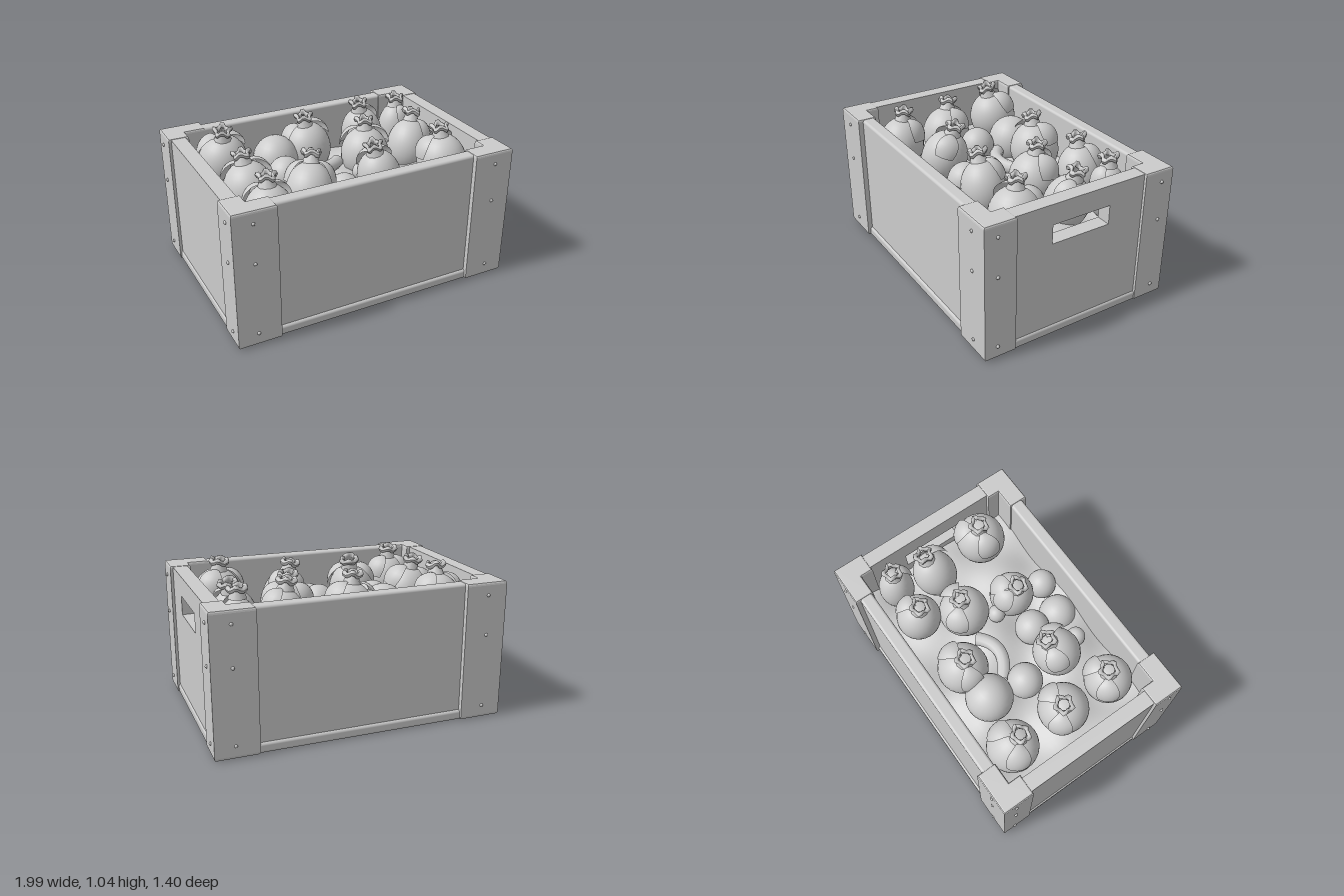
import * as THREE from 'three';
import { RoundedBoxGeometry } from 'three/addons/geometries/RoundedBoxGeometry.js';

const grey = new THREE.MeshStandardMaterial({ color: 0xcccccc });
const thin = new THREE.MeshStandardMaterial({ color: 0xcccccc, side: THREE.DoubleSide });

function add(parent, geometry, name, x = 0, y = 0, z = 0, material = grey) {
  const mesh = new THREE.Mesh(geometry, material);
  mesh.name = name;
  mesh.position.set(x, y, z);
  parent.add(mesh);
  return mesh;
}

// Move every vertex of a geometry by a rule
function reshape(geometry, rule) {
  const p = geometry.attributes.position, v = new THREE.Vector3();
  for (let i = 0; i < p.count; i++) {
    v.fromBufferAttribute(p, i);
    rule(v);
    p.setXYZ(i, v.x, v.y, v.z);
  }
  geometry.computeVertexNormals();
  return geometry;
}

// End wall, standing across x, with an optional hand hole
function endWall(hasHole) {
  const s = new THREE.Shape();
  s.moveTo(-0.63, 0.02).lineTo(0.63, 0.02).lineTo(0.63, 0.95).lineTo(-0.63, 0.95).closePath();
  if (hasHole) {
    const h = new THREE.Path();
    h.moveTo(-0.21, 0.68).lineTo(-0.21, 0.81).lineTo(0.21, 0.81).lineTo(0.21, 0.68).closePath();
    s.holes.push(h);
  }
  return new THREE.ExtrudeGeometry(s, { depth: 0.1, bevelEnabled: false }).rotateY(Math.PI / 2);
}

// L-shaped corner post with softened edges; sx and sz pick the corner
function cornerPost(sx, sz) {
  const b = 0.02;
  let pts = [[0.98, 0.685], [0.7, 0.685], [0.7, 0.56], [0.845, 0.56], [0.845, 0.475], [0.98, 0.475]]
    .map(([x, z]) => new THREE.Vector2(x * sx, -z * sz));
  if (THREE.ShapeUtils.isClockWise(pts)) pts.reverse();
  return new THREE.ExtrudeGeometry(new THREE.Shape(pts), {
    depth: 0.9, bevelThickness: b, bevelSize: b * 0.6, bevelOffset: -b * 0.4, bevelSegments: 3,
  }).rotateX(-Math.PI / 2).translate(0, 0.035, 0);
}

// Broad leaf draped over a fruit of radius r and half height h
function leaf(r, h, angle, reach) {
  return reshape(new THREE.PlaneGeometry(1, 1, 6, 10), (v) => {
    const t = v.y + 0.5, side = v.x;
    const down = 0.22 + t * reach;
    const az = angle + side * (0.75 + 0.35 * Math.sin(t * Math.PI));
    const lift = 1.05 + 0.12 * Math.sin(t * Math.PI) - 0.16 * side * side + 0.08 * t;
    v.set(Math.sin(down) * Math.cos(az) * r * lift,
      Math.cos(down) * h * lift,
      Math.sin(down) * Math.sin(az) * r * lift);
  });
}

// Ragged ring at the top of a fruit
function crown(radius) {
  const g = new THREE.TorusGeometry(radius, 0.014, 6, 18).rotateX(Math.PI / 2);
  return reshape(g, (v) => {
    const a = Math.atan2(v.z, v.x), k = 1 + 0.18 * Math.cos(5 * a);
    v.set(v.x * k, v.y * 1.5 + 0.012 * Math.sin(4 * a), v.z * k);
  });
}

// x, z, radius, centre height, crown x, crown z, leaf end points (x, z)
const fruits = [
  [-0.64, -0.38, 0.17, 0.77, -0.65, -0.33, [[-0.45, -0.46], [-0.8, -0.42]]],
  [-0.02, -0.34, 0.17, 0.76, -0.05, -0.33, [[0.15, -0.4], [-0.2, -0.36]]],
  [0.45, -0.38, 0.15, 0.77, 0.41, -0.37, [[0.57, -0.47]]],
  [0.73, -0.38, 0.12, 0.75, 0.73, -0.38, [[0.76, -0.22]]],
  [0.68, -0.1, 0.15, 0.73, 0.73, -0.14, [[0.82, 0]]],
  [0.32, -0.1, 0.17, 0.74, 0.32, -0.12, [[0.2, -0.25], [0.47, -0.13]]],
  [-0.62, 0.04, 0.17, 0.74, -0.65, 0, [[-0.78, -0.13], [-0.47, -0.04]]],
  [-0.28, 0.24, 0.16, 0.74, -0.23, 0.17, [[-0.38, 0.12], [-0.14, 0.24]]],
  [0.24, 0.24, 0.15, 0.73, 0.18, 0.25, [[0.34, 0.1], [0.15, 0.12]]],
  [0.7, 0.3, 0.17, 0.77, 0.68, 0.28, [[0.53, 0.26], [0.78, 0.14]]],
  [-0.63, 0.4, 0.16, 0.74, -0.63, 0.37, [[-0.78, 0.25], [-0.5, 0.3]]],
];

// Plain fruits tucked lower down: x, z, radius, centre height
const lowFruits = [
  [-0.28, -0.31, 0.16, 0.73], [-0.32, -0.05, 0.12, 0.73], [-0.02, 0.23, 0.12, 0.66],
  [0.2, 0.47, 0.1, 0.68], [-0.02, 0.45, 0.13, 0.6], [-0.25, 0.43, 0.065, 0.67], [0.19, 0.08, 0.06, 0.7],
];

export function createModel() {
  const model = new THREE.Group();
  model.name = 'fruitCrate';

  // Crate shell
  const crate = new THREE.Group();
  crate.name = 'crate';
  model.add(crate);
  add(crate, new RoundedBoxGeometry(1.95, 0.07, 1.34, 3, 0.02), 'floor', 0, 0.045, 0);
  for (const s of [-1, 1]) {
    add(crate, new RoundedBoxGeometry(1.9, 0.935, 0.09, 3, 0.018), s > 0 ? 'frontWall' : 'backWall', 0, 0.4825, s * 0.61);
    add(crate, endWall(s > 0), s > 0 ? 'leftEndWall' : 'rightEndWall', s > 0 ? 0.865 : -0.965, 0, 0);
    for (const t of [-1, 1]) {
      add(crate, cornerPost(s, t), 'cornerPost');
      // Worn nail heads on the post faces
      for (const y of [0.1, 0.6, 0.87]) {
        add(crate, new THREE.SphereGeometry(0.012, 8, 6), 'nailHead', s * 0.985, y, t * 0.6);
        add(crate, new THREE.SphereGeometry(0.012, 8, 6), 'nailHead', s * 0.85, y, t * 0.688);
      }
    }
  }

  // Lumpy heap under the visible fruits
  const heap = new THREE.PlaneGeometry(1.76, 1.16, 44, 30).rotateX(-Math.PI / 2);
  add(model, reshape(heap, (v) => {
    v.y = 0.62 + 0.045 * Math.sin(v.x * 9 + 1) * Math.cos(v.z * 10) + 0.02 * Math.sin(v.x * 5 - v.z * 8);
  }), 'heap', 0, 0, 0, thin);

  // Leafy fruits, each leaning towards its crown
  const up = new THREE.Vector3(0, 1, 0);
  for (const [x, z, r, y, cx, cz, leaves] of fruits) {
    const fruit = new THREE.Group(), h = 0.19;
    fruit.name = 'leafyFruit';
    fruit.position.set(x, y, z);
    fruit.quaternion.setFromUnitVectors(up, new THREE.Vector3(cx - x, 0.25, cz - z).normalize());
    model.add(fruit);
    add(fruit, new THREE.SphereGeometry(1, 28, 18).scale(r, h, r), 'fruitBody');
    add(fruit, new THREE.CylinderGeometry(0.035, 0.06, 0.06, 10, 1, true), 'fruitNeck', 0, h + 0.02, 0, thin);
    add(fruit, crown(0.05), 'crown', 0, h + 0.055, 0);
    for (const [lx, lz] of leaves) {
      add(fruit, leaf(r, h, Math.atan2(lz - cz, lx - cx), 1.05), 'leaf', 0, 0, 0, thin);
    }
  }
  for (const [x, z, r, y] of lowFruits) {
    add(model, new THREE.SphereGeometry(r, 24, 16), 'lowFruit', x, y, z).scale.y = 1.1;
  }

  // Curved stalk lying between the fruits
  const stalk = new THREE.QuadraticBezierCurve3(
    new THREE.Vector3(-0.22, 0.7, -0.16), new THREE.Vector3(-0.04, 0.72, 0.02), new THREE.Vector3(0.12, 0.7, -0.14));
  add(model, new THREE.TubeGeometry(stalk, 16, 0.045, 10), 'curvedStalk');
  return model;
}
